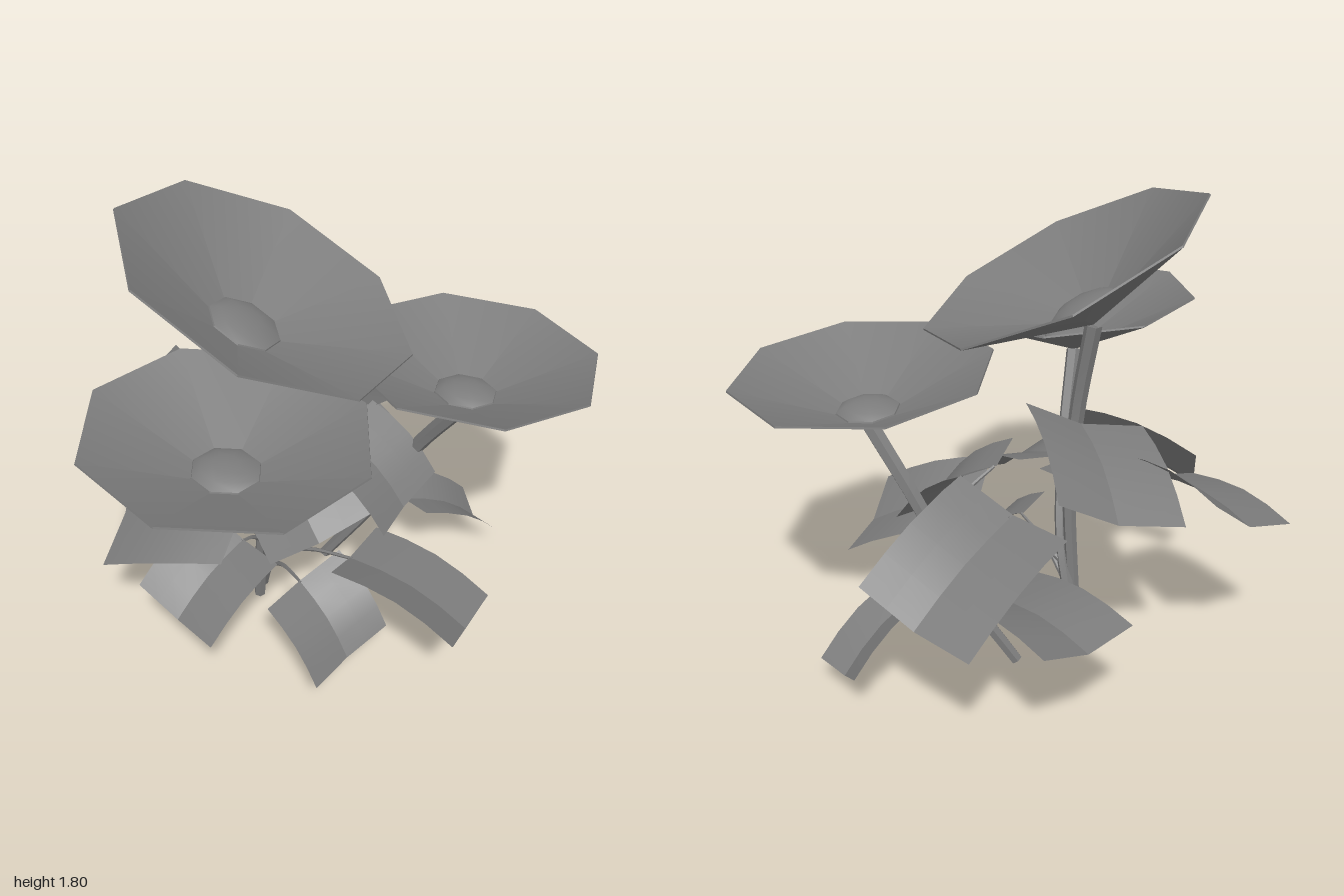
import * as THREE from 'three';
import { toCreasedNormals } from 'three/addons/utils/BufferGeometryUtils.js';

const mat = new THREE.MeshStandardMaterial({ color: 0x7c7c7c });
const leafMat = new THREE.MeshStandardMaterial({ color: 0x7c7c7c, side: THREE.DoubleSide });
const V = (p) => new THREE.Vector3(...p);

function mesh(name, geometry, material = mat) {
  const m = new THREE.Mesh(geometry, material);
  m.name = name;
  return m;
}

// Faceted tube along a smooth curve, tapered from r0 at the start to r1 at the end
function taperedTube(curve, r0, r1, sides, segments) {
  const geo = new THREE.TubeGeometry(curve, segments, 1, sides);
  const pos = geo.attributes.position;
  const v = new THREE.Vector3();
  for (let i = 0; i <= segments; i++) {
    const centre = curve.getPointAt(i / segments);
    const r = THREE.MathUtils.lerp(r0, r1, i / segments);
    for (let j = 0; j <= sides; j++) {
      const k = i * (sides + 1) + j;
      v.fromBufferAttribute(pos, k).sub(centre).multiplyScalar(r).add(centre);
      pos.setXYZ(k, v.x, v.y, v.z);
    }
  }
  return toCreasedNormals(geo, 0.5);
}

// Eight-sided funnel bloom with a low domed centre, built on its apex
function flower({ centre, tilt, radius, phase }) {
  const group = new THREE.Group();
  group.name = 'flower';
  const depth = 0.45 * radius;
  const lathe = (pts) => toCreasedNormals(
    new THREE.LatheGeometry(pts.map(([x, y]) => new THREE.Vector2(x, y)), 8, phase), 0.6);
  group.add(mesh('petalCup', lathe([[0, 0], [radius, depth], [radius - 0.002, depth + 0.007], [0, 0.01]])));
  const r = 0.25 * radius;
  const y = 0.25 * depth;
  group.add(mesh('flowerCentre', lathe([[r, y + 0.004], [r * 0.97, y + 0.014], [r * 0.72, y + 0.032], [r * 0.4, y + 0.042], [0, y + 0.046]])));
  const n = new THREE.Vector3(tilt[0], 1, tilt[1]).normalize();
  group.quaternion.setFromUnitVectors(new THREE.Vector3(0, 1, 0), n);
  group.position.copy(V(centre)).addScaledVector(n, -depth);
  return group;
}

// Point on a leaf: u runs across the blade, t from base to tip.
// The blade sinks along the midrib and arches along its length.
function leafSurface({ base, tip, width, rise }) {
  const a = V(base);
  const axis = V(tip).sub(a);
  const side = new THREE.Vector3(-axis.z, 0, axis.x).setLength(width).setY(rise);
  const up = side.clone().cross(axis).normalize();
  return (u, t) => a.clone()
    .addScaledVector(axis, t)
    .addScaledVector(side, u - 0.5)
    .addScaledVector(up, 0.035 * Math.sin(Math.PI * t) + 0.045 * (Math.abs(2 * u - 1) - 0.8));
}

function leafBlade(at) {
  const n = 4, verts = [], index = [];
  for (let i = 0; i <= n; i++)
    for (let j = 0; j <= n; j++) verts.push(...at(j / n, i / n).toArray());
  for (let i = 0; i < n; i++)
    for (let j = 0; j < n; j++) {
      const k = i * (n + 1) + j, l = k + n + 1;
      index.push(k, k + 1, l, k + 1, l + 1, l);
    }
  const geo = new THREE.BufferGeometry();
  geo.setAttribute('position', new THREE.Float32BufferAttribute(verts, 3));
  geo.setIndex(index);
  geo.computeVertexNormals();
  return mesh('leafBlade', toCreasedNormals(geo, 0.3), leafMat);
}

// Leaf with a stalk that leaves the stem below the blade and curves out to the midrib
function leaf(spec, stem) {
  const at = leafSurface(spec);
  const base = at(0.5, 0.03);
  const start = stem.getPointAt(THREE.MathUtils.clamp((base.y - 0.22) / stem.points.at(-1).y, 0.16, 0.55));
  const bend = start.clone().lerp(base, 0.5);
  bend.y += 0.04;
  const stalk = new THREE.CatmullRomCurve3([start, bend, base]);
  const group = new THREE.Group();
  group.name = 'leaf';
  group.add(leafBlade(at), mesh('leafStalk', taperedTube(stalk, 0.012, 0.006, 5, 10)));
  return group;
}

function plant(name, bloom, stemPoints, leaves) {
  const group = new THREE.Group();
  group.name = name;
  const head = flower(bloom);
  const stem = new THREE.CatmullRomCurve3([...stemPoints.map(V), head.position.clone()]);
  group.add(head, mesh('stem', taperedTube(stem, 0.024, 0.034, 6, 12)));
  for (const spec of leaves) group.add(leaf(spec, stem));
  return group;
}

export function createModel() {
  const model = new THREE.Group();
  model.name = 'flowerCluster';

  model.add(plant('tallPlant',
    { centre: [-0.025, 1.545, 0.12], tilt: [0.33, -0.35], radius: 0.58, phase: -0.76 },
    [[-0.09, 0.01, 0.14], [-0.03, 0.6, 0.16], [-0.04, 0.95, 0.19]],
    [
      { base: [-0.34, 0.76, 0.32], tip: [-0.84, 0.75, 0.26], width: 0.41, rise: 0.21 },
      { base: [-0.14, 0.97, 0.12], tip: [-0.59, 0.82, -0.17], width: 0.46, rise: 0.14 },
      { base: [0.13, 0.76, 0.37], tip: [-0.29, 0.59, 0.65], width: 0.32, rise: 0.3 },
      { base: [-0.02, 0.8, 0.13], tip: [0.34, 0.63, 0.14], width: 0.46, rise: -0.02 },
    ]));

  model.add(plant('frontPlant',
    { centre: [0.29, 1.255, 0.5], tilt: [0.055, -0.03], radius: 0.51, phase: -0.24 },
    [[-0.14, 0.01, 0.09], [0, 0.35, 0.15], [0.15, 0.69, 0.32]],
    [
      { base: [0.08, 0.56, 0.33], tip: [0.15, 0.39, 0.68], width: 0.39, rise: 0.06 },
      { base: [0.28, 0.4, 0.18], tip: [0.54, 0.17, 0.14], width: 0.39, rise: -0.05 },
      { base: [0.35, 0.5, -0.01], tip: [0.78, 0.33, -0.24], width: 0.44, rise: 0.13 },
    ]));

  model.add(plant('backPlant',
    { centre: [0.36, 1.2, -0.53], tilt: [0, -0.07], radius: 0.49, phase: -2.87 },
    [[-0.12, 0.02, -0.23], [0.04, 0.35, -0.37], [0.17, 0.68, -0.45]],
    [
      { base: [-0.22, 0.5, -0.45], tip: [-0.72, 0.51, -0.47], width: 0.42, rise: 0.06 },
      { base: [-0.22, 0.78, -0.34], tip: [-0.3, 0.58, -0.88], width: 0.48, rise: 0.11 },
      { base: [0.12, 0.4, -0.49], tip: [0.17, 0.15, -0.87], width: 0.26, rise: -0.05 },
      { base: [0.06, 0.83, -0.18], tip: [0.34, 0.59, -0.29], width: 0.42, rise: -0.03 },
    ]));

  return model;
}
